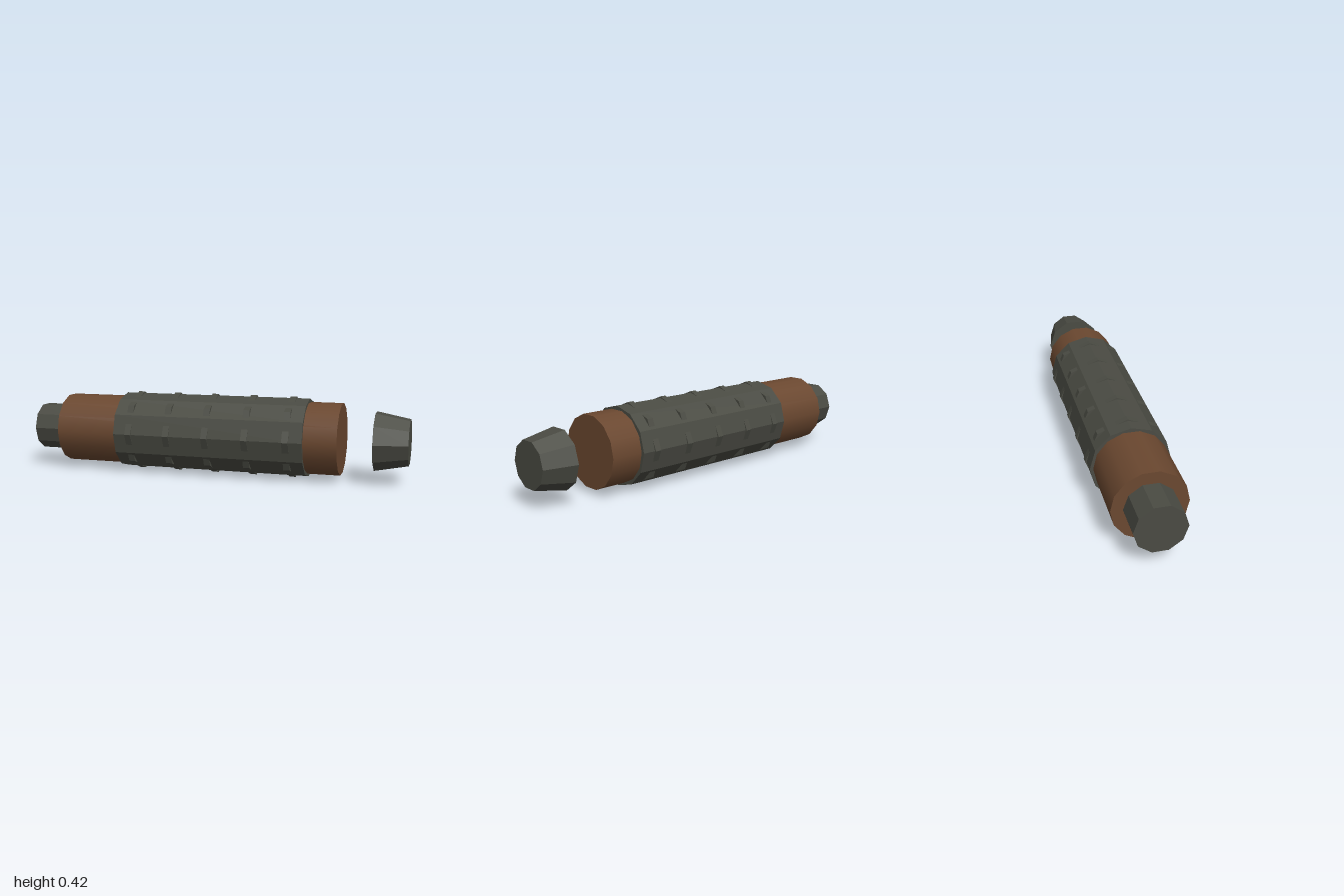
import * as THREE from 'three';

export function createModel() {
  const model = new THREE.Group();
  const axisY = 0.208;

  const darkMetal = new THREE.MeshStandardMaterial({ color: 0x4a4b43 });
  darkMetal.name = 'dark metal';
  const brownShell = new THREE.MeshStandardMaterial({ color: 0x6b4830 });
  brownShell.name = 'brown shell';

  // Cylinder lying along x from x0 to x1, with radii r0 and r1 at those ends
  function barrel(name, x0, x1, r0, r1, sides, material, flat = true) {
    let geo = new THREE.CylinderGeometry(r1, r0, x1 - x0, sides);
    geo.rotateZ(-Math.PI / 2);
    if (flat) {
      geo = geo.toNonIndexed();
      geo.computeVertexNormals();
    }
    const mesh = new THREE.Mesh(geo, material);
    mesh.name = name;
    mesh.position.set((x0 + x1) / 2, axisY, 0);
    model.add(mesh);
  }

  // Main tube with smooth sides
  barrel('body', -0.833, 0.667, 0.183, 0.183, 14, brownShell, false);

  // Faceted sleeve around the middle
  barrel('sleeve', -0.5, 0.5, 0.2, 0.2, 12, darkMetal);

  // Octagonal rings whose corners poke through the sleeve
  for (let i = -2; i <= 2; i++) {
    const x = i * 0.2083;
    barrel('ring', x - 0.0167, x + 0.0167, 0.208, 0.208, 8, darkMetal);
  }

  // End stub and the separate tapered cap
  barrel('stub', -1, -0.833, 0.125, 0.125, 10, darkMetal);
  barrel('cap', 0.833, 1, 0.15, 0.117, 10, darkMetal);

  return model;
}
